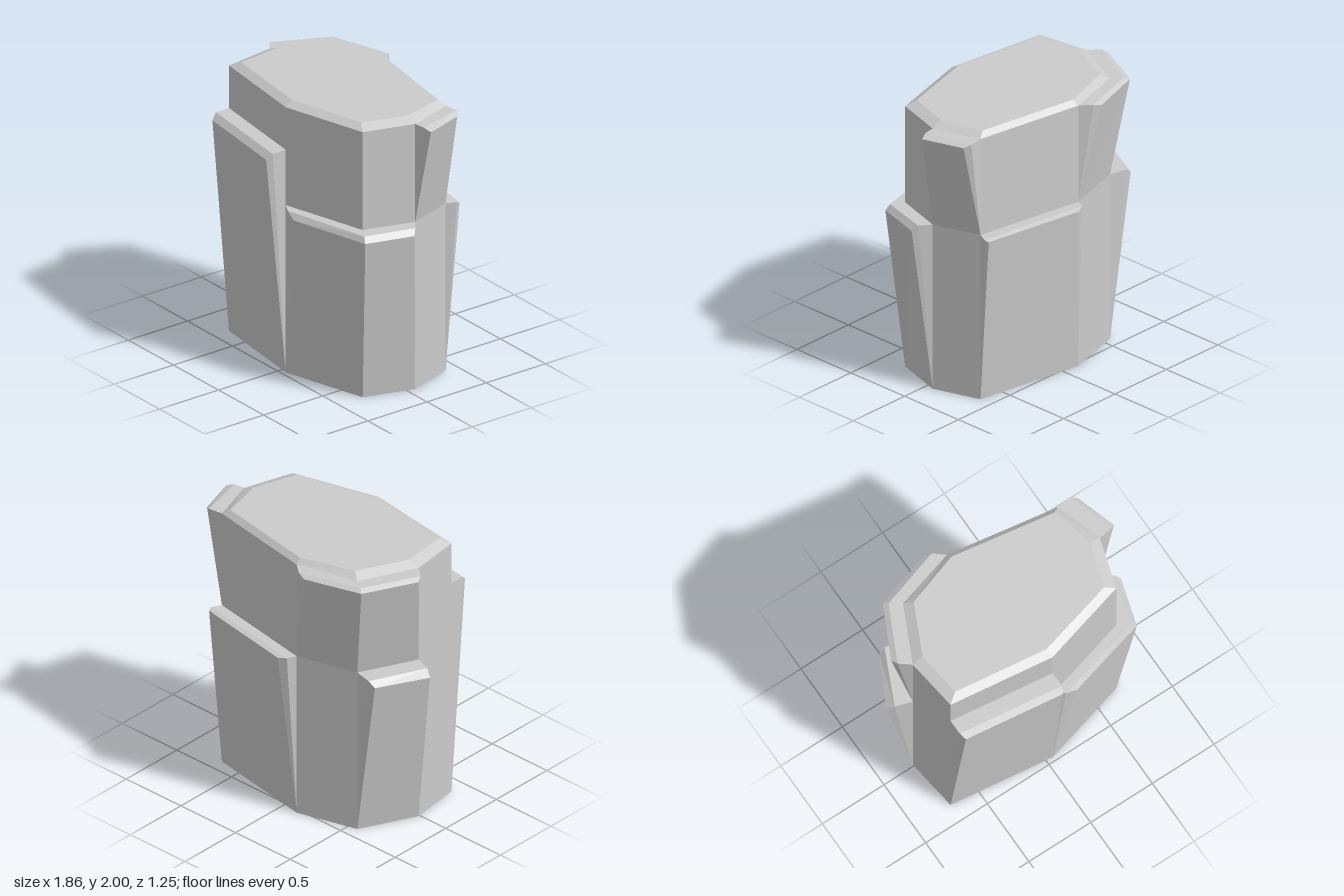
import * as THREE from 'three';

const material = new THREE.MeshStandardMaterial({ color: 0xcccccc, flatShading: true });

// Outline of the column as [x, z], running anticlockwise seen from above
const A = [-0.71, 0.37], B = [0.05, 0.47], C = [0.68, 0.30], D = [0.79, -0.06];
const E = [0.68, -0.40], F = [-0.13, -0.535], G = [-0.57, -0.41], H = [-0.76, -0.01];

const at = (points, y) => points.map(([x, z]) => [x, y, z]);

// Convex polygon as a triangle fan
function fan(out, points) {
  for (let i = 1; i < points.length - 1; i++) out.push(...points[0], ...points[i], ...points[i + 1]);
}

// Skin between stacked rows of points
function skin(out, rows, closed) {
  const n = rows[0].length;
  for (let r = 0; r < rows.length - 1; r++) {
    for (let i = 0; i < (closed ? n : n - 1); i++) {
      const j = (i + 1) % n;
      fan(out, [rows[r][i], rows[r][j], rows[r + 1][j], rows[r + 1][i]]);
    }
  }
}

function toMesh(name, positions) {
  const geometry = new THREE.BufferGeometry();
  geometry.setAttribute('position', new THREE.Float32BufferAttribute(positions, 3));
  geometry.computeVertexNormals();
  const mesh = new THREE.Mesh(geometry, material);
  mesh.name = name;
  return mesh;
}

// Eight-sided column with a bevelled top
function column() {
  const outline = [A, B, C, D, E, F, G, H];
  const inner = [[-0.64, 0.32], [0.04, 0.41], [0.61, 0.26], [0.71, -0.06],
    [0.63, -0.37], [-0.12, -0.495], [-0.51, -0.37], [-0.68, -0.01]];
  const rows = [at(outline, 0), at(outline, 1.965), at(inner, 2)];
  const out = [];
  skin(out, rows, true);
  fan(out, rows[2]);
  fan(out, [...rows[0]].reverse());
  return toMesh('column', out);
}

// Wedge that grows out of the column from nothing at y0 to a chamfered top at y1
function slab({ name, base, edge, rim, y0, yEdge, y1 }) {
  const rows = [at(base, y0), at(edge, yEdge), at(rim, y1), at(base, y1)];
  const out = [];
  skin(out, rows, false);
  fan(out, rows.map(row => row[0]));
  const end = rows.map(row => row[row.length - 1]);
  fan(out, [end[0], end[3], end[2], end[1]]);
  return toMesh(name, out);
}

const slabs = [
  { name: 'frontTallSlab', base: [A, B], y0: 0, yEdge: 1.61, y1: 1.65,
    edge: [[-0.69, 0.525], [0.03, 0.62]], rim: [[-0.71, 0.48], [0.05, 0.58]] },
  { name: 'frontCornerSlab', base: [B, C, D], y0: 0, yEdge: 1.2, y1: 1.24,
    edge: [[0.21, 0.525], [0.80, 0.37], [0.90, 0.03]],
    rim: [[0.13, 0.515], [0.77, 0.355], [0.87, 0]] },
  { name: 'upperLeftSlab', base: [D, E], y0: 1.24, yEdge: 1.945, y1: 1.965,
    edge: [[0.925, -0.09], [0.83, -0.385]], rim: [[0.87, -0.07], [0.785, -0.415]] },
  { name: 'backLowSlab', base: [E, F], y0: 0, yEdge: 1.23, y1: 1.24,
    edge: [[0.705, -0.50], [-0.04, -0.625]], rim: [[0.715, -0.47], [-0.10, -0.60]] },
  { name: 'upperBackSlab', base: [F, G, H], y0: 1.24, yEdge: 1.945, y1: 1.965,
    edge: [[-0.27, -0.615], [-0.68, -0.49], [-0.86, -0.12]],
    rim: [[-0.21, -0.60], [-0.65, -0.465], [-0.84, -0.075]] },
  { name: 'rightLowSlab', base: [G, H], y0: 0, yEdge: 1.2, y1: 1.24,
    edge: [[-0.75, -0.43], [-0.93, -0.08]], rim: [[-0.70, -0.44], [-0.88, -0.05]] },
];

export function createModel() {
  const group = new THREE.Group();
  group.name = 'rockPillar';
  group.add(column(), ...slabs.map(slab));
  return group;
}
